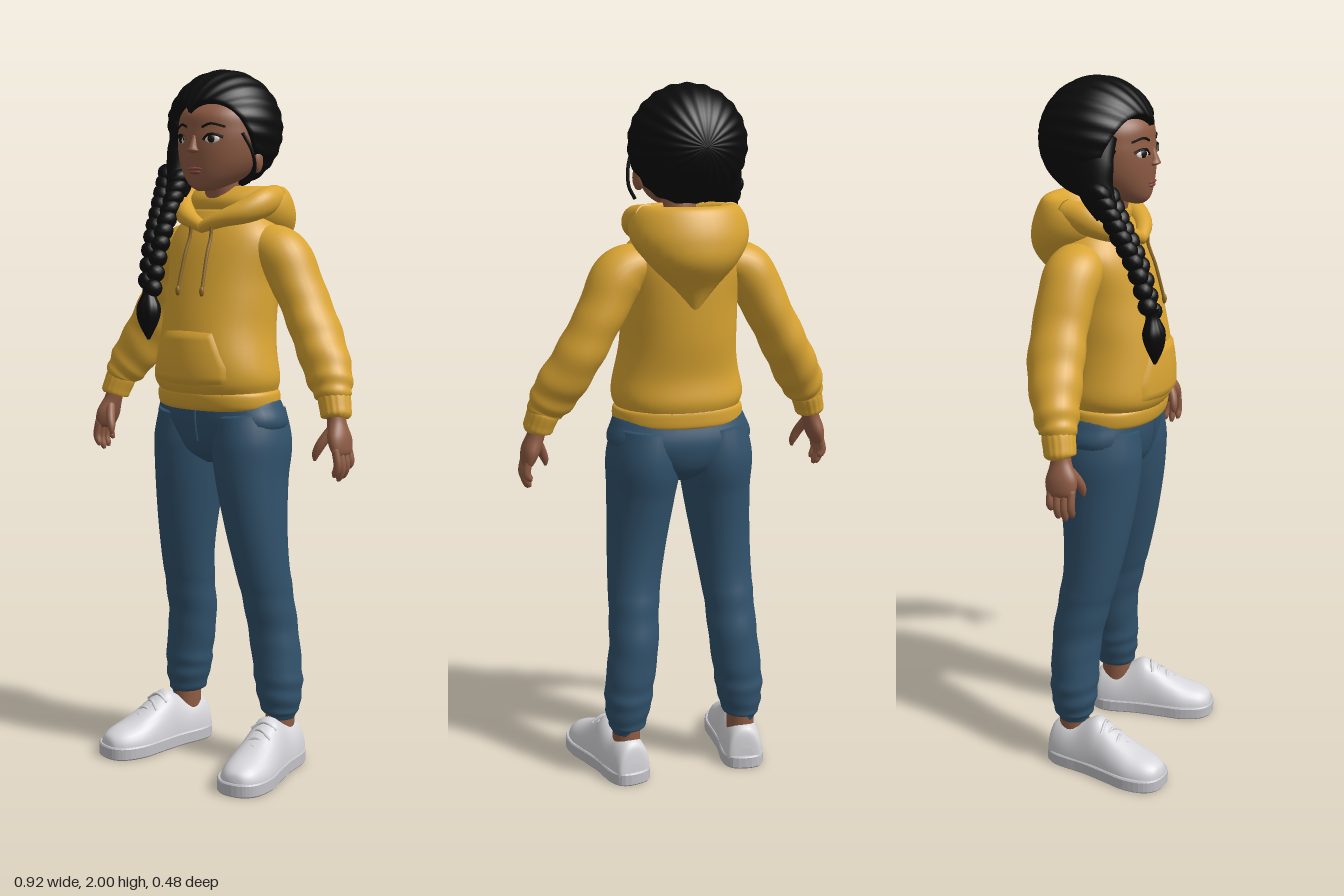
import * as THREE from 'three';

const mat = (name, color) => Object.assign(new THREE.MeshStandardMaterial({ color }), { name });
const V = (x, y, z) => new THREE.Vector3(x, y, z);
const Y = V(0, 1, 0), Z = V(0, 0, 1);

// Smooth interpolation through rings of [x, y, z, radiusA, radiusB]
function sample(rings, t) {
  const f = t * (rings.length - 1), i = Math.min(Math.floor(f), rings.length - 2), k = f - i;
  const p = (j, c) => rings[Math.max(0, Math.min(rings.length - 1, i + j))][c];
  return rings[0].map((_, c) => {
    const a = p(-1, c), b = p(0, c), d = p(1, c), e = p(2, c);
    return b + 0.5 * k * (d - a + k * (2 * a - 5 * b + 4 * d - e + k * (3 * (b - d) + e - a)));
  });
}

// Closed skin through the rings; flat keeps every ring horizontal, n squares the section
function loft(rings, { segs = 28, steps = 6, ref = Z, flat = false, n = 2, bump = () => 0 } = {}) {
  const rows = (rings.length - 1) * steps, pos = [], idx = [];
  const at = (t) => V(...sample(rings, Math.max(0, Math.min(1, t))).slice(0, 3));
  const pw = (q) => Math.sign(q) * Math.abs(q) ** (2 / n);
  for (let i = 0; i <= rows; i++) {
    const t = i / rows, r = sample(rings, t), c = at(t);
    const dir = flat ? Y : at(t + 0.01).sub(at(t - 0.01)).normalize();
    const u = dir.clone().cross(ref).normalize(), v = u.clone().cross(dir);
    for (let j = 0; j < segs; j++) {
      const th = j / segs * Math.PI * 2, g = 1 + bump(t, th);
      const q = c.clone().addScaledVector(u, r[3] * g * pw(Math.cos(th))).addScaledVector(v, r[4] * g * pw(Math.sin(th)));
      pos.push(q.x, q.y, q.z);
    }
  }
  const id = (i, j) => i * segs + j % segs, c0 = (rows + 1) * segs;
  pos.push(...at(0).toArray(), ...at(1).toArray());
  for (let j = 0; j < segs; j++) {
    for (let i = 0; i < rows; i++) idx.push(id(i, j), id(i + 1, j), id(i, j + 1), id(i + 1, j), id(i + 1, j + 1), id(i, j + 1));
    idx.push(c0, id(0, j), id(0, j + 1), c0 + 1, id(rows, j + 1), id(rows, j));
  }
  const g = new THREE.BufferGeometry();
  g.setAttribute('position', new THREE.Float32BufferAttribute(pos, 3));
  g.setIndex(idx);
  g.computeVertexNormals();
  return g;
}

// Front surface depth of a flat loft at (x, y)
function frontZ(rings, x, y) {
  let best = null, d = 9;
  for (let i = 0; i <= 300; i++) {
    const r = sample(rings, i / 300), e = Math.abs(r[1] - y);
    if (e < d) { d = e; best = r; }
  }
  return best[2] + best[4] * Math.sqrt(Math.max(0, 1 - (x / best[3]) ** 2));
}

const tube = (pts, r, segs = 16) => new THREE.TubeGeometry(new THREE.CatmullRomCurve3(pts.map((p) => V(...p))), segs, r, 6);
const mx = (s, rings) => rings.map(([x, ...rest]) => [x * s, ...rest]);

const TORSO = [[0, 1.095, 0.005, 0.178, 0.14], [0, 1.13, 0.01, 0.19, 0.153], [0, 1.2, 0.014, 0.18, 0.15], [0, 1.3, 0, 0.166, 0.15],
  [0, 1.4, -0.015, 0.165, 0.142], [0, 1.5, -0.03, 0.178, 0.128], [0, 1.56, -0.038, 0.16, 0.11], [0, 1.61, -0.04, 0.11, 0.08]];
const HEAD = [[0, 1.662, 0.065, 0.02, 0.02], [0, 1.675, 0.05, 0.05, 0.05], [0, 1.7, 0.022, 0.084, 0.086], [0, 1.74, 0.006, 0.11, 0.107],
  [0, 1.785, 0, 0.121, 0.115], [0, 1.83, -0.005, 0.123, 0.117], [0, 1.88, -0.01, 0.112, 0.113], [0, 1.94, -0.02, 0.06, 0.06]];

export function createModel() {
  const root = new THREE.Group();
  root.name = 'girl';
  const gold = mat('hoodie gold', 0xd9a432), black = mat('hair black', 0x0b0b0c), skin = mat('skin', 0x8f5c44);
  const denim = mat('denim', 0x31526c), shoe = mat('shoe white', 0xd6d6da), soleM = mat('sole grey', 0xc2c2c7);
  const cordM = mat('cord brown', 0x8c6722), lipM = mat('lip', 0x85473f), white = mat('white', 0xe2ddd6), dark = mat('eye dark', 0x1b110d);
  const add = (name, geo, m, parent = root) => {
    const mesh = new THREE.Mesh(geo, m);
    mesh.name = name;
    parent.add(mesh);
    return mesh;
  };
  const ball = (name, m, p, sc, rot = [0, 0, 0], parent = root) => {
    const b = add(name, new THREE.SphereGeometry(1, 16, 10), m, parent);
    b.position.set(...p); b.scale.set(...sc); b.rotation.set(...rot);
    return b;
  };

  // Hoodie body, hem and hood
  add('hoodieBody', loft(TORSO, { flat: true, n: 2.15, segs: 40, bump: (t, a) => 0.012 * Math.sin(t * 22 + 3 * Math.cos(a)) * Math.cos(a) ** 2 }), gold);
  add('hem', loft([[0, 1.05, 0.002, 0.172, 0.128], [0, 1.058, 0.002, 0.187, 0.138], [0, 1.08, 0.004, 0.19, 0.142], [0, 1.1, 0.005, 0.186, 0.141], [0, 1.107, 0.005, 0.17, 0.13]],
    { flat: true, n: 2.15, segs: 96, bump: (t, a) => 0.004 * Math.sin(a * 48) }), gold);
  add('hood', loft([[0, 1.39, -0.14, 0.015, 0.015], [0, 1.45, -0.138, 0.06, 0.045], [0, 1.52, -0.13, 0.125, 0.1], [0, 1.58, -0.105, 0.165, 0.128],
    [0, 1.635, -0.09, 0.165, 0.128], [0, 1.672, -0.095, 0.138, 0.1], [0, 1.668, -0.085, 0.105, 0.075], [0, 1.62, -0.07, 0.085, 0.06]], { flat: true, segs: 36 }), gold);
  for (const s of [1, -1]) {
    add('hoodEdge', loft(mx(s, [[0.12, 1.645, -0.1, 0.035, 0.035], [0.135, 1.63, -0.03, 0.035, 0.04], [0.11, 1.605, 0.025, 0.033, 0.034],
      [0.06, 1.585, 0.062, 0.026, 0.024], [-0.005, 1.56, 0.078, 0.018, 0.016]]), { ref: Y }), gold);
    const cord = [1.585, 1.54, 1.49, 1.44, 1.385].map((y, i) => [s * (0.036 + 0.002 * i), y, Math.max(frontZ(TORSO, 0.04, y) + 0.006, y > 1.55 ? 0.085 : 0)]);
    add('drawstring', tube(cord, 0.005), cordM);
    ball('cordTip', cordM, cord[4], [0.007, 0.014, 0.007]);
  }

  // Front pocket laid over the belly
  const pocket = new THREE.PlaneGeometry(2, 1, 24, 12), pp = pocket.attributes.position;
  for (let i = 0; i < pp.count; i++) {
    const u = pp.getX(i), v = pp.getY(i) + 0.5, edge = Math.abs(u) > 0.99 || v > 0.99 || v < 0.01;
    const x = u * (0.085 + 0.05 * Math.min(1, (1 - v) * 1.5)), y = 1.125 + 0.15 * v;
    pp.setXYZ(i, x, y, frontZ(TORSO, x, y) + (edge ? 0 : 0.009));
  }
  pocket.computeVertexNormals();
  add('pocket', pocket, gold);

  // Neck, shirt collar and head
  add('neck', loft([[0, 1.53, -0.03, 0.085, 0.08], [0, 1.58, -0.025, 0.07, 0.068], [0, 1.62, -0.018, 0.05, 0.05], [0, 1.71, 0, 0.05, 0.052]], { flat: true }), skin);
  add('shirtCollar', loft([[0, 1.545, -0.025, 0.09, 0.087], [0, 1.575, -0.025, 0.084, 0.08], [0, 1.582, -0.025, 0.07, 0.066]], { flat: true }), white);
  add('head', loft(HEAD, { flat: true, segs: 40 }), skin);
  const nz = (y) => frontZ(HEAD, 0, y);
  add('nose', loft([[0, 1.765, nz(1.765) - 0.004, 0.008, 0.006], [0, 1.772, nz(1.772) + 0.002, 0.019, 0.015], [0, 1.783, nz(1.78), 0.012, 0.014], [0, 1.815, nz(1.81) - 0.008, 0.007, 0.009]], { flat: true, segs: 16 }), skin);
  ball('upperLip', lipM, [0, 1.722, nz(1.722) - 0.001], [0.026, 0.005, 0.007]);
  ball('lowerLip', lipM, [0, 1.713, nz(1.713) - 0.001], [0.021, 0.006, 0.007]);
  for (const s of [1, -1]) {
    const on = (x, y, d) => [s * x, y, frontZ(HEAD, x, y) + d], turn = [0, s * 0.5, 0];
    ball('eyeWhite', white, on(0.056, 1.803, -0.001), [0.021, 0.011, 0.005], turn);
    ball('iris', dark, on(0.055, 1.804, 0.001), [0.012, 0.0115, 0.005], turn);
    add('eyelash', tube([on(0.033, 1.801, 0.002), on(0.045, 1.814, 0.003), on(0.062, 1.816, 0.003), on(0.083, 1.808, 0.002)], 0.0038), black);
    add('eyebrow', tube([on(0.026, 1.836, 0), on(0.05, 1.845, 0.001), on(0.085, 1.836, 0)], 0.0035), black);
    ball('ear', skin, [s * 0.12, 1.745, -0.02], [0.014, 0.034, 0.022], [0, s * 0.3, 0]);
    add('looseStrand', tube([[s * 0.118, 1.82, 0.045], [s * 0.136, 1.77, 0.025], [s * 0.137, 1.72, 0.015], [s * 0.118, 1.685, 0.02]], 0.005), black);
  }

  // Hair cap: rows run from the peaked hairline around to the back of the skull
  const cap = new THREE.PlaneGeometry(1, 1, 120, 28), cp = cap.attributes.position;
  for (let i = 0; i < cp.count; i++) {
    const phi = (cp.getX(i) + 0.5) * Math.PI * 2 - Math.PI / 2, v = 0.5 - cp.getY(i);
    const d = Math.abs(phi - Math.PI / 2), start = 0.26 + 0.52 * d;
    const th = start + (Math.PI - start) * Math.max(0, v - 1 / 28) * 28 / 27;
    const r = 0.165 * (v < 0.01 ? 0.8 : 1 + 0.012 * Math.sin(phi * 22 + 3 * th) * Math.sin(th));
    cp.setXYZ(i, -0.015 + r * Math.sin(th) * Math.cos(phi), 1.835 + r * Math.sin(th) * Math.sin(phi), -0.04 + r * Math.cos(th));
  }
  cap.computeVertexNormals();
  const both = black;
  both.side = THREE.DoubleSide;
  add('hairCap', cap, both);
  add('hairSweep', loft([[-0.11, 1.86, 0.02, 0.03, 0.03], [-0.14, 1.79, -0.005, 0.035, 0.055], [-0.145, 1.72, 0, 0.038, 0.05], [-0.14, 1.65, 0.035, 0.035, 0.035]]), black);

  // Braid of alternating tilted lobes, with a tie and loose end
  const braid = new THREE.Group();
  braid.name = 'braid';
  root.add(braid);
  const path = new THREE.CatmullRomCurve3([V(-0.15, 1.71, 0.02), V(-0.145, 1.62, 0.065), V(-0.138, 1.52, 0.115), V(-0.13, 1.39, 0.155)]);
  for (let i = 0; i < 20; i++) {
    const p = path.getPoint(i / 19), s = i % 2 ? 1 : -1, w = 1 - 0.3 * i / 19;
    ball('braidLobe', black, [p.x + s * 0.02 * w, p.y, p.z], [0.037 * w, 0.026, 0.037 * w], [0.3, 0, s * 0.65], braid);
  }
  add('braidEnd', loft([[-0.13, 1.4, 0.155, 0.022, 0.022], [-0.13, 1.375, 0.158, 0.018, 0.018], [-0.128, 1.335, 0.162, 0.036, 0.03], [-0.127, 1.295, 0.165, 0.03, 0.025], [-0.126, 1.245, 0.165, 0.004, 0.004]],
    { bump: (t, a) => 0.06 * Math.sin(a * 9) }), black, braid);

  // Jeans seat and fly seam
  const SEAT = [[0, 0.89, -0.01, 0.03, 0.06], [0, 0.93, -0.012, 0.12, 0.11], [0, 1.0, -0.012, 0.208, 0.13], [0, 1.06, -0.005, 0.197, 0.126], [0, 1.09, 0, 0.18, 0.12]];
  add('jeansSeat', loft(SEAT, { flat: true, n: 2.2, segs: 36 }), denim);
  add('fly', tube([1.05, 1.02, 0.99, 0.96].map((y) => [0.008, y, frontZ(SEAT, 0, y)]), 0.004), denim);

  for (const s of [1, -1]) {
    // Sleeve with folds that deepen toward the wrist
    add('sleeve', loft(mx(s, [[0.1, 1.52, -0.045, 0.05, 0.07], [0.185, 1.485, -0.052, 0.073, 0.08], [0.25, 1.37, -0.06, 0.066, 0.078], [0.31, 1.26, -0.052, 0.066, 0.078],
      [0.365, 1.165, -0.028, 0.066, 0.064], [0.393, 1.115, -0.012, 0.052, 0.052], [0.398, 1.1, -0.01, 0.04, 0.04]]),
      { steps: 10, bump: (t, a) => 0.05 * t * Math.sin(t * 45 + 1.5 * Math.sin(a + 1)) }), gold);
    add('cuff', loft(mx(s, [[0.395, 1.11, -0.01, 0.038, 0.038], [0.397, 1.105, -0.009, 0.045, 0.045], [0.407, 1.075, -0.002, 0.043, 0.044], [0.413, 1.055, 0.002, 0.041, 0.042], [0.414, 1.05, 0.003, 0.03, 0.03]]),
      { segs: 64, bump: (t, a) => 0.02 * Math.sin(a * 16) }), gold);

    // Hand
    const hand = new THREE.Group();
    hand.name = s > 0 ? 'leftHand' : 'rightHand';
    root.add(hand);
    add('palm', loft(mx(s, [[0.41, 1.07, 0.002, 0.026, 0.026], [0.418, 1.035, 0.006, 0.025, 0.03], [0.432, 0.995, 0.012, 0.026, 0.044], [0.442, 0.962, 0.015, 0.019, 0.04], [0.445, 0.95, 0.016, 0.01, 0.03]])), skin, hand);
    for (let k = 0; k < 4; k++) {
      const z = 0.046 - k * 0.02, l = [0.065, 0.078, 0.072, 0.05][k];
      add('finger', loft(mx(s, [[0.441, 0.972, z, 0.011, 0.01], [0.45, 0.955 - l * 0.4, z, 0.0115, 0.0105], [0.442, 0.96 - l * 0.85, z, 0.01, 0.009], [0.437, 0.96 - l, z, 0.004, 0.004]]), { segs: 12, steps: 4 }), skin, hand);
    }
    add('thumb', loft(mx(s, [[0.415, 1.025, 0.02, 0.014, 0.014], [0.395, 0.985, 0.043, 0.014, 0.014], [0.382, 0.955, 0.052, 0.011, 0.011], [0.379, 0.935, 0.054, 0.004, 0.004]]), { segs: 12, steps: 4 }), skin, hand);

    // Trouser leg, bunched above the shoe
    add('trouserLeg', loft(mx(s, [[0.1, 1.04, -0.01, 0.095, 0.12], [0.108, 0.95, -0.012, 0.107, 0.13], [0.115, 0.85, -0.006, 0.098, 0.117], [0.128, 0.72, -0.008, 0.087, 0.097], [0.14, 0.6, -0.02, 0.078, 0.082],
      [0.148, 0.5, -0.04, 0.073, 0.076], [0.154, 0.4, -0.058, 0.072, 0.073], [0.167, 0.3, -0.061, 0.071, 0.071], [0.174, 0.23, -0.062, 0.068, 0.069], [0.179, 0.165, -0.062, 0.053, 0.058], [0.179, 0.155, -0.062, 0.04, 0.045]]),
      { steps: 8, bump: (t, a) => (t > 0.45 ? 0.015 : 0) * Math.sin(t * 60 + 2 * Math.sin(a)) + 0.045 * Math.max(0, t - 0.65) * 3 * Math.sin(t * 85 + 1.5 * Math.sin(a + s)) }), denim);
    add('ankle', loft(mx(s, [[0.179, 0.09, -0.06, 0.04, 0.045], [0.179, 0.2, -0.06, 0.04, 0.045]])), skin);

    // Sneaker, toes turned out
    const foot = new THREE.Group();
    foot.name = s > 0 ? 'leftShoe' : 'rightShoe';
    foot.position.set(s * 0.205, 0, 0.053);
    foot.rotation.y = s * 0.19;
    root.add(foot);
    const upper = loft([[0, 0.03, -0.183, 0.03, 0.03], [0, 0.03, -0.175, 0.05, 0.085], [0, 0.03, -0.14, 0.058, 0.105], [0, 0.03, -0.09, 0.06, 0.105], [0, 0.03, -0.035, 0.06, 0.135], [0, 0.03, 0, 0.062, 0.12],
      [0, 0.03, 0.05, 0.068, 0.09], [0, 0.03, 0.1, 0.07, 0.066], [0, 0.03, 0.15, 0.058, 0.05], [0, 0.03, 0.178, 0.036, 0.034], [0, 0.03, 0.186, 0.01, 0.012]], { ref: Y, n: 2.2 });
    const up = upper.attributes.position;
    for (let i = 0; i < up.count; i++) up.setY(i, Math.max(up.getY(i), 0.02));
    upper.computeVertexNormals();
    add('upper', upper, shoe, foot);
    const half = [[0.035, 0.184], [0.058, 0.15], [0.06, 0.05], [0.068, -0.03], [0.075, -0.1], [0.06, -0.16], [0.03, -0.186]];
    const outline = new THREE.CatmullRomCurve3([...half, ...half.map(([x, y]) => [-x, y]).reverse()].map(([x, y]) => V(x, y, 0)), true);
    const sole = new THREE.ExtrudeGeometry(new THREE.Shape(outline.getPoints(56).map((p) => new THREE.Vector2(p.x, p.y))),
      { depth: 0.03, bevelThickness: 0.004, bevelSize: 0.003, bevelSegments: 1 });
    sole.rotateX(-Math.PI / 2).translate(0, 0.004, 0);
    add('sole', sole, soleM, foot);
    for (let k = 0; k < 4; k++) {
      const z = -0.005 + k * 0.024, y = 0.155 - k * 0.0165, d = k % 2 ? 0.008 : -0.008;
      add('lace', tube([[-0.036, y - 0.02, z - d], [0, y + 0.002, z], [0.036, y - 0.02, z + d]], 0.005, 10), shoe, foot);
    }
  }
  return root;
}
